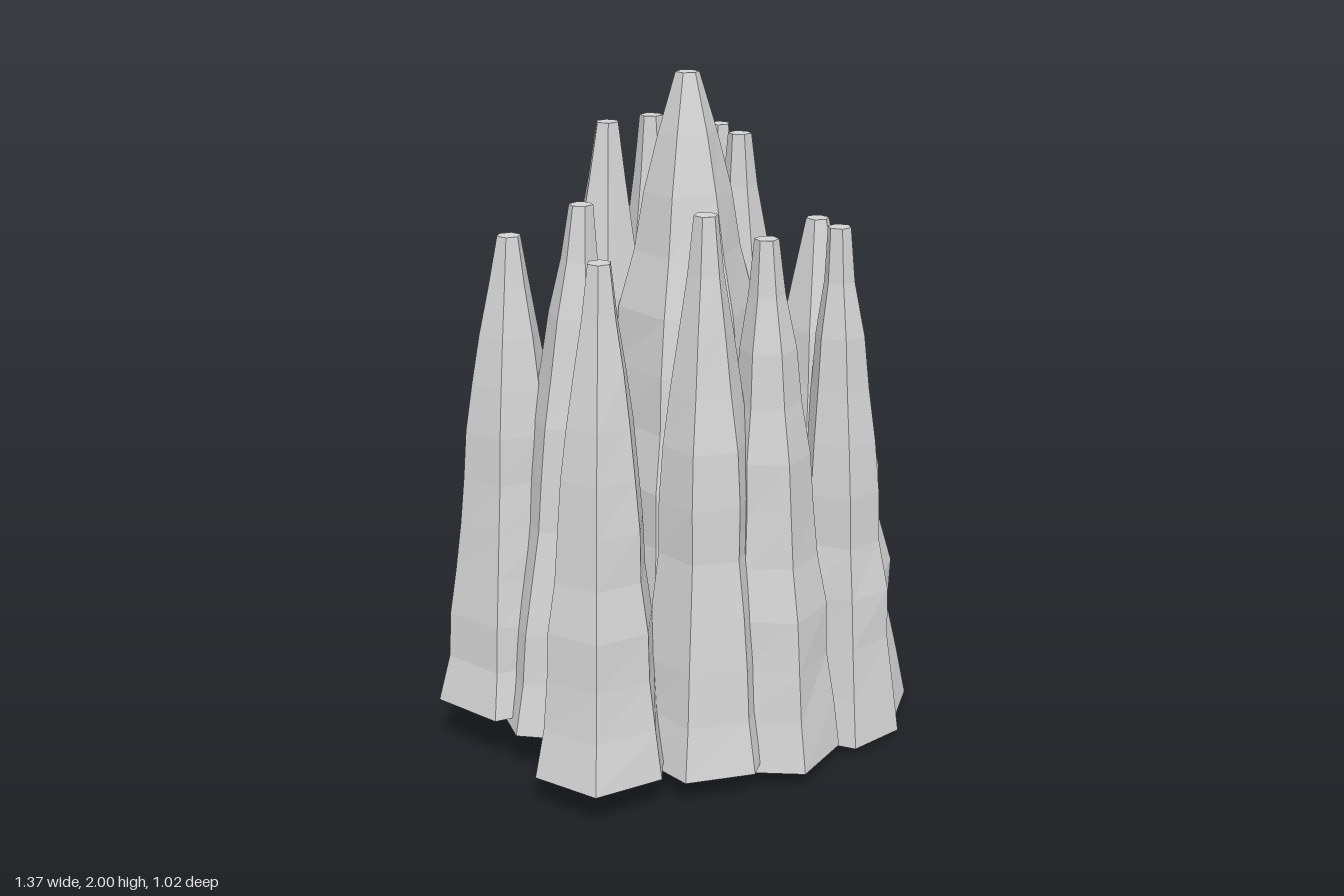
import * as THREE from 'three';

// Each spire: [tipX, tipZ, tipY, baseX, baseZ, baseRadius, corner angle in degrees]
// Ordered round the cluster; each base sits one step higher than the last.
const SPIRES = [
  [0.38, 0.105, 1.575, 0.421, 0.13, 0.285, 24],
  [0.325, 0.26, 1.585, 0.36, 0.295, 0.18, 58],
  [0.06, 0.26, 1.59, 0.068, 0.31, 0.2, 41],
  [-0.11, 0.21, 1.67, -0.14, 0.25, 0.205, 23],
  [-0.405, 0.135, 1.57, -0.445, 0.16, 0.206, 9],
  [-0.3, -0.1, 1.67, -0.39, -0.11, 0.21, 46],
  [-0.43, -0.27, 1.57, -0.468, -0.285, 0.225, 14],
  [-0.09, -0.27, 1.85, -0.125, -0.3, 0.24, 1],
  [0.075, -0.285, 1.85, 0.1, -0.31, 0.2, 43],
  [0.16, -0.265, 1.81, 0.19, -0.28, 0.22, 19],
  [0.285, -0.235, 1.81, 0.313, -0.265, 0.19, 12],
  [0.235, -0.075, 1.81, 0.275, -0.08, 0.2, 46],
  [0.05, -0.08, 2.0, 0.035, -0.06, 0.335, 27],
];
const BASE_STEP = 0.0288;
const SIDES = 6, RINGS = 10, TIP_RADIUS = 0.034;
// Radius of each ring from base to just below the tip, as a share of the base radius
const TAPER = [1, 0.87, 0.81, 0.78, 0.68, 0.64, 0.58, 0.48, 0.39, 0.255];

// Repeatable wobble between -1 and 1
function wobble(spire, ring, side) {
  const s = Math.sin(spire * 12.99 + ring * 78.23 + side * 37.72) * 43758.55;
  return (s - Math.floor(s)) * 2 - 1;
}

function spireGeometry(index) {
  const [tipX, tipZ, tipY, baseX, baseZ, radius, corner] = SPIRES[index];
  const baseY = index * BASE_STEP;
  const start = THREE.MathUtils.degToRad(30 - corner);
  const geo = new THREE.CylinderGeometry(1, 1, 1, SIDES, RINGS, false, start);
  const pos = geo.attributes.position;
  for (let i = 0; i < pos.count; i++) {
    const x = pos.getX(i), z = pos.getZ(i), t = pos.getY(i) + 0.5;
    const ring = Math.round(t * RINGS);
    const turn = (Math.atan2(x, z) - start) / (Math.PI * 2) + 2;
    const side = Math.round(turn * SIDES) % SIDES;
    // Rings swell and shrink slightly; base and tip stay regular
    let r = TIP_RADIUS;
    if (ring === 0) r = radius;
    else if (ring < RINGS) {
      r = radius * TAPER[ring] * (1 + 0.045 * wobble(index, ring, 9) + 0.025 * wobble(index, ring, side));
    }
    pos.setXYZ(
      i,
      THREE.MathUtils.lerp(baseX, tipX, t) + x * r,
      THREE.MathUtils.lerp(baseY, tipY, t),
      THREE.MathUtils.lerp(baseZ, tipZ, t) + z * r
    );
  }
  geo.computeVertexNormals();
  return geo;
}

export function createModel() {
  const group = new THREE.Group();
  group.name = 'rockSpireCluster';
  const stone = new THREE.MeshStandardMaterial({ color: 0xd3d3d3, flatShading: true });
  stone.name = 'light grey stone';
  SPIRES.forEach((_, i) => {
    const mesh = new THREE.Mesh(spireGeometry(i), stone);
    mesh.name = i === SPIRES.length - 1 ? 'centralSpire' : `outerSpire${i + 1}`;
    group.add(mesh);
  });
  return group;
}
